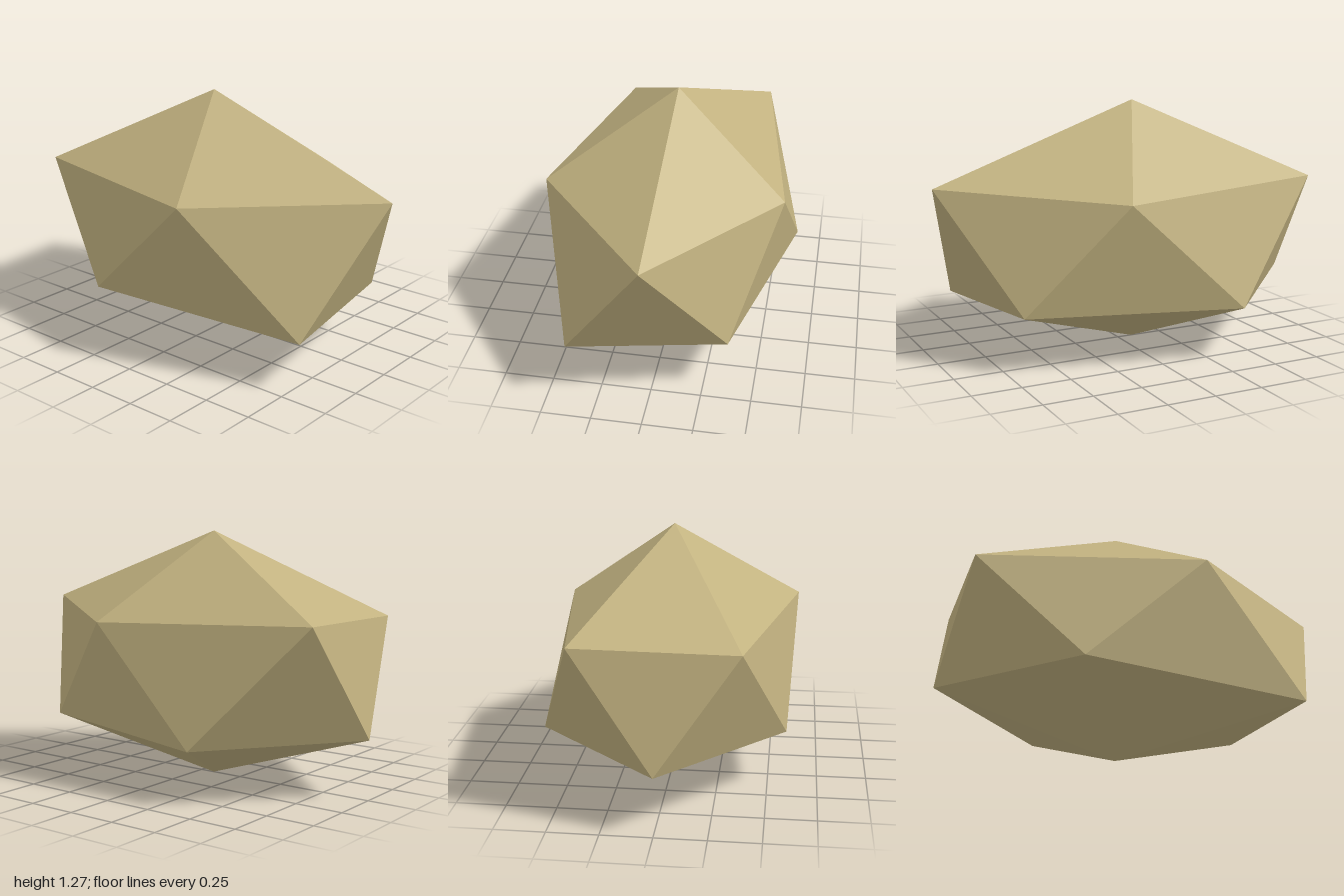
import * as THREE from 'three';

// A faceted boulder: a stretched, irregular icosahedron
const TOP = [-0.08, 1.27, 0];
const BOTTOM = [-0.08, 0, 0];
const UPPER = [[1, 0.88, 0], [0.22, 0.85, 0.63], [-0.88, 0.85, 0.39], [-0.92, 0.87, -0.4], [0.21, 0.83, -0.58]];
const LOWER = [[0.79, 0.25, 0.42], [-0.37, 0.29, 0.59], [-1, 0.295, 0], [-0.39, 0.27, -0.63], [0.68, 0.285, -0.37]];

function rockGeometry() {
  const corners = [];
  for (let i = 0; i < 5; i++) {
    const j = (i + 1) % 5;
    corners.push(TOP, UPPER[j], UPPER[i]); // cap
    corners.push(UPPER[i], UPPER[j], LOWER[i]); // side band, pointing down
    corners.push(LOWER[i], UPPER[j], LOWER[j]); // side band, pointing up
    corners.push(BOTTOM, LOWER[i], LOWER[j]); // base
  }
  const geometry = new THREE.BufferGeometry();
  geometry.setAttribute('position', new THREE.Float32BufferAttribute(corners.flat(), 3));
  geometry.computeVertexNormals(); // unshared corners keep every facet flat
  return geometry;
}

export function createModel() {
  const sandstone = new THREE.MeshStandardMaterial({ color: 0xc2b280, flatShading: true });
  sandstone.name = 'sandstone';

  const rock = new THREE.Mesh(rockGeometry(), sandstone);
  rock.name = 'rock';

  const group = new THREE.Group();
  group.name = 'boulder';
  group.add(rock);
  return group;
}
